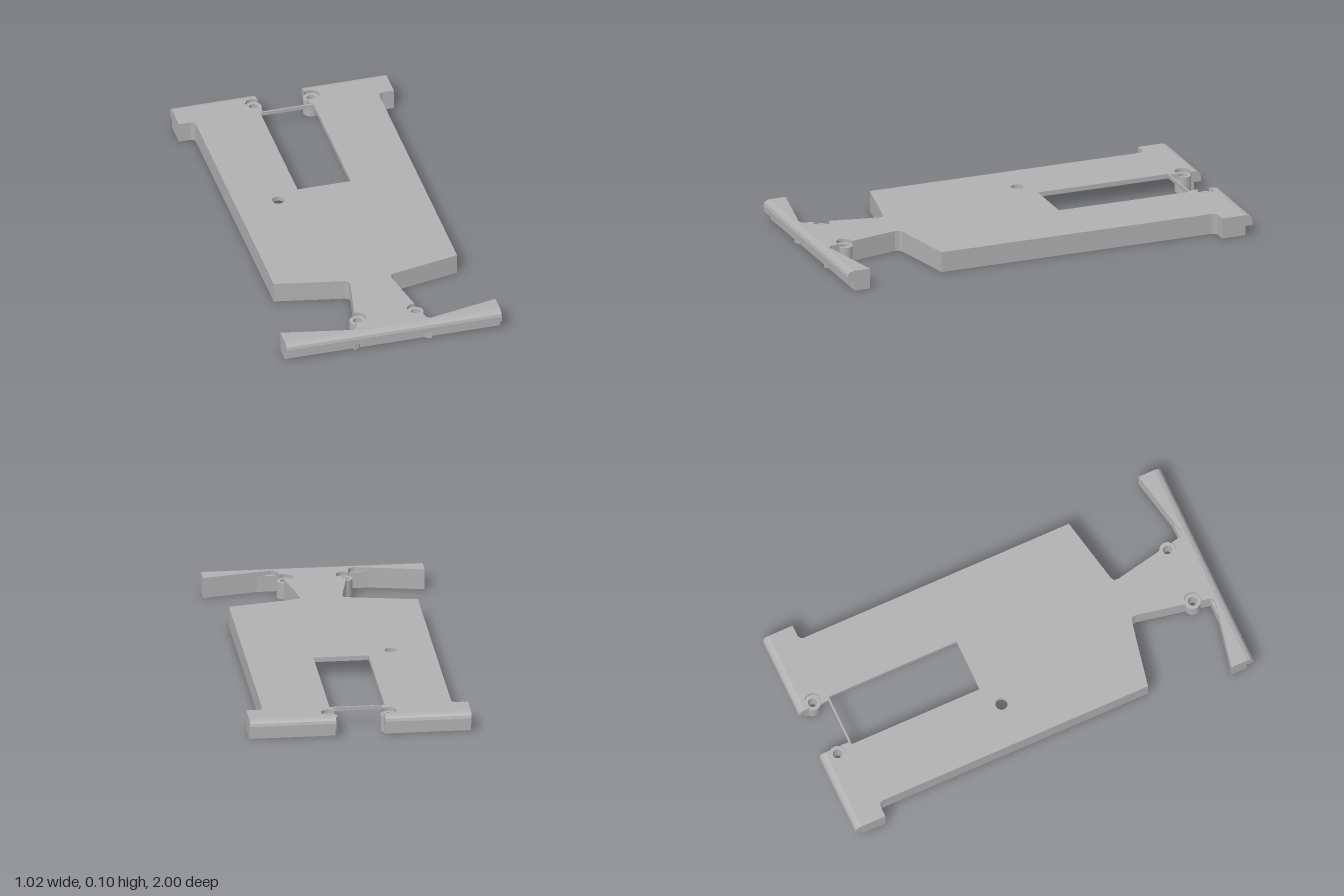
import * as THREE from 'three';

const TOP = 0.097;
const PLATE = 0.022;
const WALL = 0.025;
const BOSS_R = 0.038;
const BOSS_X = 0.137;
const BOSS_BACK = -0.92;
const BOSS_FRONT = 0.865;
const BAR_IN = 0.957;

const vec = (pts) => pts.map(([x, z]) => new THREE.Vector2(x, z));
const flip = (pts) => pts.map(([x, z]) => [-x, z]);

// Points along a screw recess, angles in degrees
function arc(cx, cz, from, to, n = 20) {
  return Array.from({ length: n + 1 }, (_, i) => {
    const a = THREE.MathUtils.degToRad(from + ((to - from) * i) / n);
    return [cx + BOSS_R * Math.cos(a), cz + BOSS_R * Math.sin(a)];
  });
}

// Extrudes a plan shape (x, z) between two heights
function slab(shape, y0, y1) {
  const geo = new THREE.ExtrudeGeometry(shape, { depth: y1 - y0, bevelEnabled: false, curveSegments: 32 });
  geo.rotateX(Math.PI / 2);
  geo.translate(0, y1, 0);
  return geo;
}

function circle(x, z, r) {
  return new THREE.Path().absarc(x, z, r, 0, Math.PI * 2, true);
}

// Closed strip of constant width on the inner side of a path
function wallOutline(pts) {
  const p = vec(pts);
  const normal = (a, b) => {
    const d = b.clone().sub(a).normalize();
    return new THREE.Vector2(-d.y, d.x);
  };
  const inner = p.map((q, i) => {
    const n0 = i > 0 ? normal(p[i - 1], q) : normal(q, p[1]);
    const n1 = i < p.length - 1 ? normal(q, p[i + 1]) : n0;
    const m = n0.clone().add(n1);
    return q.clone().addScaledVector(m, (2 * WALL) / m.lengthSq());
  });
  return [...p, ...inner.reverse()].map((q) => [q.x, q.y]);
}

export function createModel() {
  const group = new THREE.Group();
  const grey = new THREE.MeshStandardMaterial({ color: 0xb0b0b0 });
  grey.name = 'grey plastic';
  const add = (name, geo) => {
    const mesh = new THREE.Mesh(geo, grey);
    mesh.name = name;
    group.add(mesh);
  };

  // Outer side edge, from the back tab to the front neck
  const side = [
    [0.51, -BAR_IN], [0.51, -0.85], [0.455, -0.85], [0.44, -0.843], [0.435, -0.828],
    [0.435, 0.505], [0.115, 0.57], [0.1, 0.579], [0.097, 0.598], [0.143, 0.8275],
  ];
  const neckFoot = [[0.157, 0.897], [0.165, 0.94], [0.175, 0.952], [0.19, 0.956]];

  // Top plate with slot, open screw recesses and a small round hole
  const half = [
    [0.127, -0.2], [0.127, -0.85], [0.113, -0.85],
    ...arc(BOSS_X, BOSS_BACK, 135, -135),
    [0.113, -BAR_IN], ...side.slice(0, -1),
    ...arc(BOSS_X, BOSS_FRONT, -81, -302),
    ...neckFoot.slice(1), [0.19, BAR_IN],
  ];
  const plate = new THREE.Shape(vec([...half, ...flip(half).reverse()]));
  plate.holes.push(circle(-0.235, -0.14, 0.028));
  add('topPlate', slab(plate, TOP - PLATE, TOP));

  // Thin strip across the end of the slot
  const strip = new THREE.BoxGeometry(0.26, 0.018, 0.008);
  strip.translate(0, TOP - 0.011, -0.847);
  add('slotStrip', strip);

  // Lipped end bars, profile as (outward, up)
  const profile = new THREE.Shape(vec([
    [0.942, 0], [0.965, 0], [0.965, 0.045], [1, 0.045], [1, 0.07], [0.996, 0.083],
    [0.987, 0.092], [0.97, TOP], [BAR_IN, TOP], [BAR_IN, 0.076], [0.942, 0.076],
  ]));
  const bar = (length) => new THREE.ExtrudeGeometry(profile, { depth: length, bevelEnabled: false });
  add('frontBar', bar(1.02).rotateY(-Math.PI / 2).translate(0.51, 0, 0));

  for (const s of [1, -1]) {
    const name = s > 0 ? 'left' : 'right';
    const mirror = (pts) => (s > 0 ? pts : flip(pts));
    const shape = (pts) => new THREE.Shape(vec(mirror(pts)));

    add(name + 'BackBar', bar(0.397).rotateY(Math.PI / 2).translate(s > 0 ? 0.113 : -0.51, 0, 0));

    // Skirt walls below the plate
    add(name + 'SideWall', slab(shape(wallOutline(side)), 0, TOP - PLATE));
    add(name + 'NeckWall', slab(shape(wallOutline(neckFoot)), 0, TOP - PLATE));

    // Tapered front arm
    add(name + 'FrontArm', slab(shape([[0.51, 0.89], [0.51, BAR_IN], [0.19, BAR_IN], [0.19, 0.956]]), 0, TOP));

    // Screw bosses
    for (const [end, z] of [['Back', BOSS_BACK], ['Front', BOSS_FRONT]]) {
      const ring = new THREE.Shape().absarc(s * BOSS_X, z, BOSS_R, 0, Math.PI * 2, false);
      ring.holes.push(circle(s * BOSS_X, z, 0.021));
      add(name + end + 'ScrewBoss', slab(ring, 0, 0.079));
    }
  }
  return group;
}
